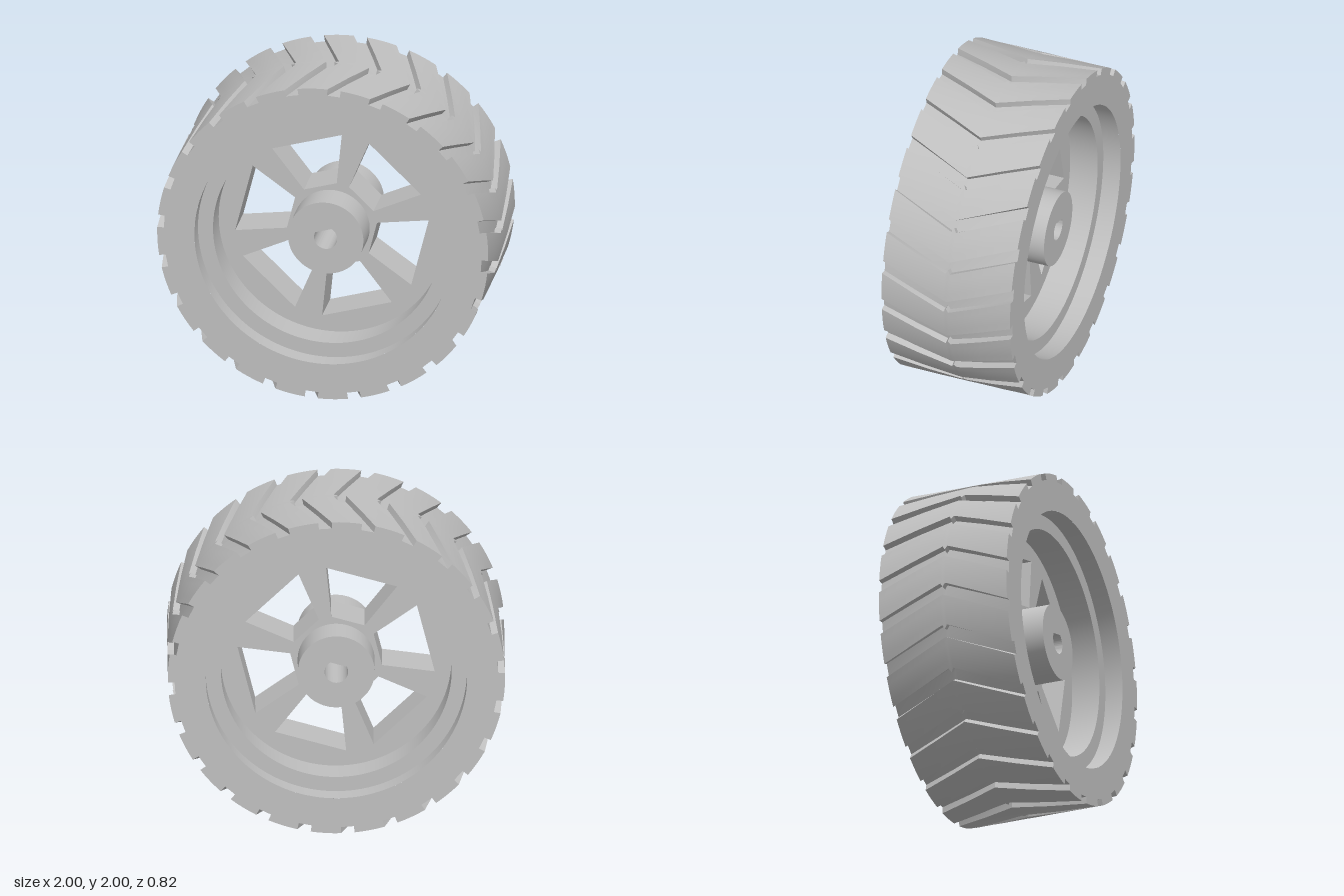
import * as THREE from 'three';
import { toCreasedNormals } from 'three/addons/utils/BufferGeometryUtils.js';

const DEG = Math.PI / 180;
const HALF = 0.41;      // half width of the tyre
const BORE = 0.775;     // inner radius of the tyre face
const GROOVES = 24;

// Angle of each tread corner, clockwise from the top, as [radius, angle]
function treadRing(z) {
  const shift = 10 * (1 - Math.abs(z) / HALF);   // chevron sweep
  const tip = z === 0 ? 1.8 : 0;                 // small tooth at the chevron tip
  const pitch = 360 / GROOVES;
  const ring = [];
  for (let i = 0; i < GROOVES; i++) {
    const start = i * pitch + 1.6 + shift;
    const end = i * pitch + 6.2 + shift - tip;
    ring.push([1, start], [0.96, start], [0.96, end]);
    for (let k = 0; k < 4; k++) ring.push([1, end + (start + pitch - end) * k / 4]);
  }
  return ring;
}

// Grooved tread surface plus the two flat side faces
function tyreGeometry() {
  const at = ([r, a], z) => [r * Math.sin(a * DEG), r * Math.cos(a * DEG), z];
  const stations = [-HALF, -0.205, -0.015, 0, 0.015, 0.205, HALF];
  const rings = stations.map(z => treadRing(z).map(p => at(p, z)));
  const pos = [];
  const quad = (a, b, c, d) => pos.push(...a, ...b, ...c, ...a, ...c, ...d);
  const n = rings[0].length;
  for (let i = 0; i < rings.length - 1; i++) {
    for (let j = 0; j < n; j++) {
      const k = (j + 1) % n;
      quad(rings[i][j], rings[i + 1][j], rings[i + 1][k], rings[i][k]);
    }
  }
  const edge = treadRing(HALF);
  for (let j = 0; j < n; j++) {
    const p = edge[j], q = edge[(j + 1) % n];
    const pIn = [BORE, p[1]], qIn = [BORE, q[1]];
    quad(at(pIn, HALF), at(qIn, HALF), at(q, HALF), at(p, HALF));
    quad(at(p, -HALF), at(q, -HALF), at(qIn, -HALF), at(pIn, -HALF));
  }
  const g = new THREE.BufferGeometry();
  g.setAttribute('position', new THREE.Float32BufferAttribute(pos, 3));
  return toCreasedNormals(g, 0.4);
}

// Disc of given radius and holes, extruded symmetrically about z = 0
function plate(radius, halfDepth, holes) {
  const shape = new THREE.Shape().absarc(0, 0, radius, 0, Math.PI * 2);
  shape.holes.push(...holes);
  const g = new THREE.ExtrudeGeometry(shape, { depth: halfDepth * 2, bevelEnabled: false, curveSegments: 64 });
  g.translate(0, 0, -halfDepth);
  return toCreasedNormals(g, 0.4);
}

export function createModel() {
  const model = new THREE.Group();
  model.name = 'wheel';
  const grey = new THREE.MeshStandardMaterial({ color: 0xbfbfbf });
  grey.name = 'grey';
  const add = (name, geometry) => {
    const mesh = new THREE.Mesh(geometry, grey);
    mesh.name = name;
    mesh.position.y = 1;
    model.add(mesh);
  };

  add('tyre', tyreGeometry());

  // Stepped inside wall of the rim
  const profile = [[BORE, HALF], [BORE, 0.3], [0.684, 0.3], [0.684, -0.3], [BORE, -0.3], [BORE, -HALF]];
  const rim = new THREE.LatheGeometry(profile.map(p => new THREE.Vector2(...p)), 128);
  rim.rotateX(Math.PI / 2);
  add('rim', toCreasedNormals(rim, 0.4));

  // Six tapered windows leave the spokes between them
  const centre = new THREE.Vector2();
  const windows = [];
  for (let i = 0; i < 6; i++) {
    const corners = [[-0.219, 0.548], [0.219, 0.548], [0.103, 0.255], [-0.103, 0.255]];
    windows.push(new THREE.Path(corners.map(([x, y]) =>
      new THREE.Vector2(x, y).rotateAround(centre, (16 + i * 60) * DEG))));
  }
  const hubSeat = new THREE.Path().absarc(0, 0, 0.2, 0, Math.PI * 2);
  add('spokes', plate(0.687, 0.125, [...windows, hubSeat]));

  // Hub with a D-shaped axle bore, flat side turned up
  const flat = 106 * DEG, open = 46 * DEG;
  const axleBore = new THREE.Path().absarc(0, 0, 0.07, flat + open, flat - open + Math.PI * 2);
  axleBore.closePath();
  add('hub', plate(0.228, 0.32, [axleBore]));

  return model;
}
